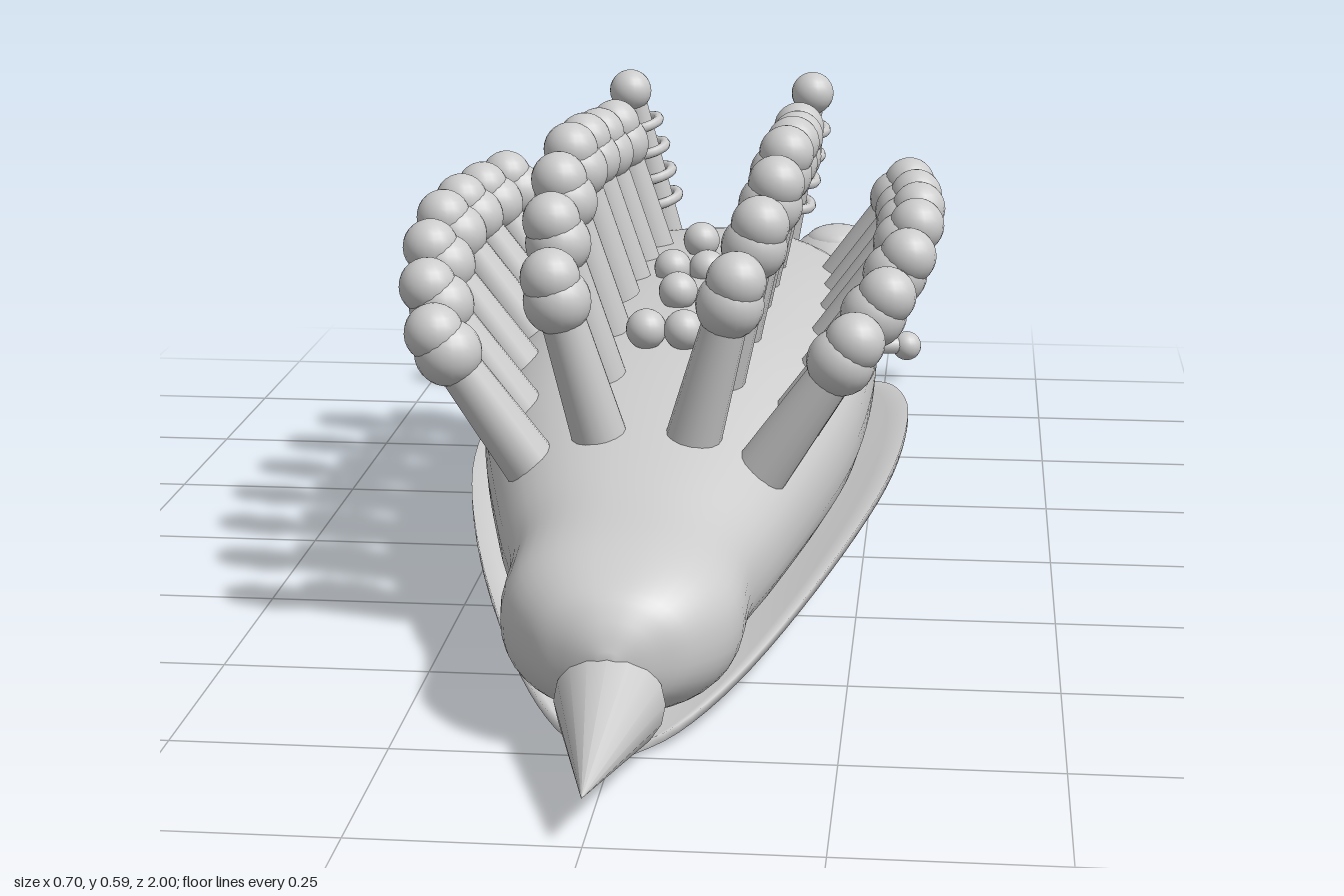
import * as THREE from 'three';

const skin = new THREE.MeshStandardMaterial({ color: 0xcccccc });
skin.name = 'pale grey skin';

const V = (x, y, z) => new THREE.Vector3(x, y, z);

function add(parent, name, geometry, position) {
  const mesh = new THREE.Mesh(geometry, skin);
  mesh.name = name;
  if (position) mesh.position.copy(position);
  parent.add(mesh);
  return mesh;
}

const ball = (parent, name, r, position) =>
  add(parent, name, new THREE.SphereGeometry(r, 20, 14), position);

// Tapered round stalk between two points
function stalk(parent, name, a, b, ra, rb) {
  const dir = b.clone().sub(a);
  const mesh = add(parent, name, new THREE.CylinderGeometry(rb, ra, dir.length(), 16),
    a.clone().add(b).multiplyScalar(0.5));
  mesh.quaternion.setFromUnitVectors(V(0, 1, 0), dir.normalize());
  return mesh;
}

// Smoothly subdivide the rows of a section table
function smoothRows(rows, steps) {
  const out = [];
  const at = i => rows[Math.min(rows.length - 1, Math.max(0, i))];
  for (let i = 0; i < rows.length - 1; i++) {
    for (let s = 0; s < steps; s++) {
      const t = s / steps;
      out.push(rows[0].map((_, k) => {
        const a = at(i - 1)[k], b = at(i)[k], c = at(i + 1)[k], d = at(i + 2)[k];
        return b + 0.5 * t * (c - a + t * (2 * a - 5 * b + 4 * c - d + t * (3 * (b - c) + d - a)));
      }));
    }
  }
  out.push(rows[rows.length - 1]);
  return out;
}

// Skin closed rings (counterclockwise from +z, ordered towards -z)
function loft(rings) {
  const n = rings[0].length, pos = [], index = [];
  rings.forEach(r => r.forEach(p => pos.push(p.x, p.y, p.z)));
  for (let i = 0; i < rings.length - 1; i++) {
    for (let j = 0; j < n; j++) {
      const a = i * n + j, b = i * n + (j + 1) % n;
      index.push(a, a + n, b, b, a + n, b + n);
    }
  }
  // Close both ends
  for (let j = 1; j < n - 1; j++) {
    const e = (rings.length - 1) * n;
    index.push(0, j, j + 1, e, e + j + 1, e + j);
  }
  const g = new THREE.BufferGeometry();
  g.setAttribute('position', new THREE.Float32BufferAttribute(pos, 3));
  g.setIndex(index);
  g.computeVertexNormals();
  return g;
}

// Body sections: z, half width, bottom, top
const BODY = [
  [0.785, 0.01, 0.11, 0.13], [0.77, 0.05, 0.075, 0.165], [0.74, 0.095, 0.05, 0.197],
  [0.67, 0.135, 0.03, 0.225], [0.55, 0.143, 0.035, 0.243], [0.43, 0.175, 0.04, 0.27],
  [0.2, 0.228, 0.045, 0.325], [0, 0.25, 0.045, 0.345], [-0.3, 0.255, 0.045, 0.345],
  [-0.6, 0.235, 0.045, 0.322], [-0.72, 0.2, 0.045, 0.303], [-0.8, 0.145, 0.05, 0.26],
  [-0.85, 0.085, 0.07, 0.2], [-0.875, 0.015, 0.11, 0.15],
];

// Foot sections: z, half width, centre height, edge height
const FOOT = [
  [0.77, 0.004, 0.006, 0.008], [0.7, 0.07, 0.008, 0.018], [0.55, 0.14, 0.013, 0.042],
  [0.3, 0.22, 0.022, 0.082], [0, 0.28, 0.03, 0.105], [-0.3, 0.3, 0.028, 0.103],
  [-0.5, 0.29, 0.022, 0.093], [-0.65, 0.25, 0.015, 0.075], [-0.76, 0.15, 0.01, 0.04],
  [-0.84, 0.004, 0.007, 0.01],
];

function bodyGeometry() {
  const bend = v => Math.sign(v) * Math.abs(v) ** 0.88;
  return loft(smoothRows(BODY, 5).map(([z, w, lo, hi]) =>
    Array.from({ length: 40 }, (_, j) => {
      const a = (j / 40) * Math.PI * 2;
      return V(w * bend(Math.cos(a)), (lo + hi) / 2 + (hi - lo) / 2 * bend(Math.sin(a)), z);
    })));
}

function footGeometry() {
  const n = 20;
  return loft(smoothRows(FOOT, 5).map(([z, w, mid, edge]) => {
    const ring = [];
    for (const side of [1, -1]) {
      for (let j = 0; j <= n; j++) {
        const u = side * (1 - 2 * j / n);
        ring.push(V(u * w, mid + (edge - mid) * Math.abs(u) ** 1.6 + side * 0.005, z));
      }
    }
    return ring;
  }));
}

// Curved feeler that thins towards its tip
function feelerGeometry(curve) {
  const rows = 16, sides = 12;
  const g = new THREE.TubeGeometry(curve, rows, 0.024, sides);
  const p = g.attributes.position, v = V(0, 0, 0);
  for (let i = 0; i < p.count; i++) {
    const t = Math.floor(i / (sides + 1)) / rows;
    v.fromBufferAttribute(p, i).lerp(curve.getPointAt(t), 0.45 * t);
    p.setXYZ(i, v.x, v.y, v.z);
  }
  return g;
}

// Soft club-ended outgrowth on the back
function backClub(parent, base, tip) {
  const g = new THREE.Group();
  g.name = 'backClub';
  const neck = base.clone().lerp(tip, 0.86);
  stalk(g, 'clubStem', base, neck, 0.034, 0.026);
  ball(g, 'clubCollar', 0.041, neck);
  ball(g, 'clubTip', 0.036, tip);
  parent.add(g);
}

function addHeadSide(parent, s) {
  const side = s > 0 ? 'left' : 'right';
  // Bulging eye with iris, glint and upper lid
  ball(parent, side + 'Eye', 0.087, V(s * 0.178, 0.222, -0.72));
  ball(parent, side + 'Iris', 0.058, V(s * 0.209, 0.199, -0.757));
  ball(parent, side + 'EyeGlint', 0.018, V(s * 0.224, 0.238, -0.803));
  ball(parent, side + 'EyeLid', 0.05, V(s * 0.18, 0.288, -0.72)).scale.y = 0.5;

  // Ringed horn
  const base = V(s * 0.09, 0.29, -0.708), tip = V(s * 0.14, 0.527, -0.67);
  stalk(parent, side + 'Horn', base, tip, 0.029, 0.02);
  ball(parent, side + 'HornTip', 0.032, tip);
  for (let i = 0; i < 4; i++) {
    const ring = add(parent, side + 'HornRing', new THREE.TorusGeometry(0.035 - i * 0.001, 0.008, 8, 24),
      base.clone().lerp(tip, 0.27 + i * 0.17));
    ring.quaternion.setFromUnitVectors(V(0, 0, 1), tip.clone().sub(base).normalize());
  }

  // Mouth feeler
  const curve = new THREE.CatmullRomCurve3([V(s * 0.08, 0.105, -0.79), V(s * 0.135, 0.092, -0.86),
    V(s * 0.195, 0.072, -0.93), V(s * 0.285, 0.06, -0.972)]);
  add(parent, side + 'Feeler', feelerGeometry(curve));
  ball(parent, side + 'FeelerTip', 0.024, V(s * 0.285, 0.06, -0.973));
}

export function createModel() {
  const model = new THREE.Group();
  model.name = 'seaSlug';
  add(model, 'body', bodyGeometry());
  add(model, 'foot', footGeometry());

  // Pointed tail
  stalk(model, 'tail', V(0, 0.07, 0.765), V(0, 0.055, 1), 0.062, 0.0005);

  // Rows of clubs: z, inner base x, base y, outer base x, base y
  const rows = [
    [0.425, 0.056, 0.265, 0.135, 0.225], [0.283, 0.074, 0.305, 0.168, 0.25],
    [0.14, 0.084, 0.33, 0.19, 0.27], [0, 0.088, 0.345, 0.198, 0.282],
    [-0.14, 0.088, 0.335, 0.198, 0.278], [-0.28, 0.086, 0.32, 0.192, 0.27],
    [-0.42, 0.08, 0.31, 0.18, 0.262],
  ];
  for (const s of [1, -1]) {
    for (const [z, ix, iy, ox, oy] of rows) {
      backClub(model, V(s * ix, iy, z - 0.035), V(s * (ix + 0.054), iy + 0.205, z));
      backClub(model, V(s * ox, oy, z - 0.03), V(s * (ox + 0.115), oy + 0.175, z));
    }
    addHeadSide(model, s);
  }

  // Bumps along the spine
  for (const [x, y, z] of [[0, 0.362, -0.34], [0.024, 0.357, -0.17], [-0.024, 0.357, -0.17],
    [0, 0.362, 0], [0.024, 0.35, 0.17], [-0.024, 0.35, 0.17]]) {
    ball(model, 'spineBump', 0.026, V(x, y, z));
  }

  // Smiling mouth wrapped round the snout
  const smile = new THREE.CatmullRomCurve3([V(-0.06, 0.145, -0.862), V(-0.03, 0.122, -0.877),
    V(0, 0.115, -0.883), V(0.03, 0.122, -0.877), V(0.06, 0.145, -0.862)]);
  add(model, 'mouth', new THREE.TubeGeometry(smile, 20, 0.01, 8));
  return model;
}
